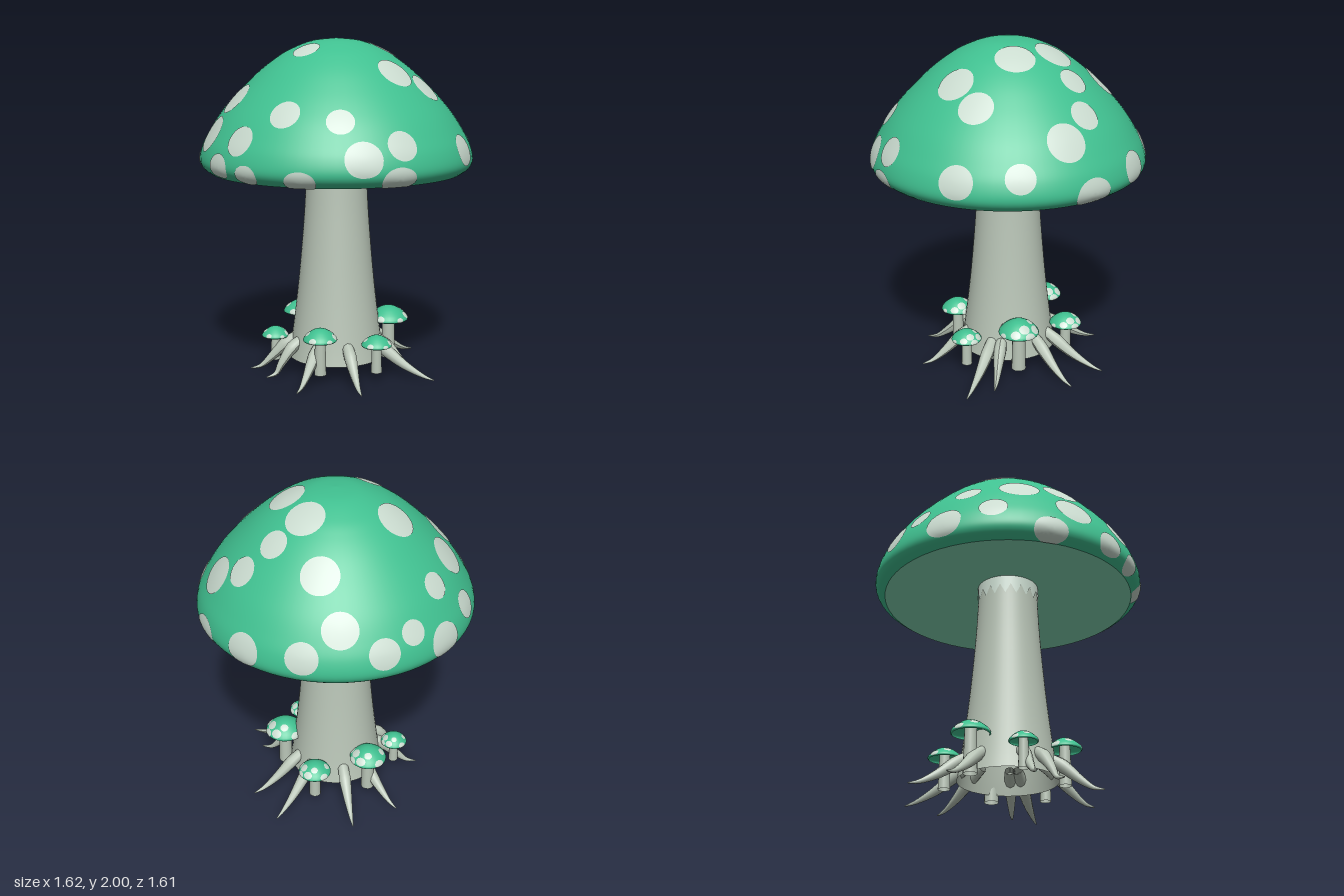
import * as THREE from 'three';

const mat = (name, color, side = THREE.FrontSide) => {
  const m = new THREE.MeshStandardMaterial({ color, side });
  m.name = name;
  return m;
};

// Cap outline from crown to rim, with the rim edge at height 0
const RIM = 0.745;
const capLine = new THREE.SplineCurve([
  [0, 0.775], [0.14, 0.76], [0.27, 0.71], [0.36, 0.655], [0.45, 0.585], [0.545, 0.495], [0.62, 0.415],
  [0.685, 0.335], [0.74, 0.25], [0.785, 0.165], [0.805, 0.085], [0.79, 0.035], [RIM, 0],
].map(([r, y]) => new THREE.Vector2(r, y))).getPoints(96);

// Nearest point of the outline, with its outward normal
function nearestOnCap(r, y) {
  const p = new THREE.Vector2(r, y);
  let best = null;
  for (let i = 0; i < capLine.length - 1; i++) {
    const a = capLine[i], d = capLine[i + 1].clone().sub(a);
    const t = THREE.MathUtils.clamp(p.clone().sub(a).dot(d) / d.lengthSq(), 0, 1);
    const q = a.clone().addScaledVector(d, t);
    const dist = q.distanceTo(p);
    if (!best || dist < best.dist) best = { dist, q, n: new THREE.Vector2(-d.y, d.x).normalize() };
  }
  return best;
}

// Round patch that follows the cap surface; angle is measured from +z towards +x
function spotGeometry(angle, y, radius, lift) {
  const RINGS = 5, SIDES = 28;
  const mid = capLine.reduce((a, b) => (Math.abs(b.y - y) < Math.abs(a.y - y) ? b : a));
  const { n } = nearestOnCap(mid.x, mid.y);
  const s = Math.sin(angle), c = Math.cos(angle);
  const centre = new THREE.Vector3(mid.x * s, mid.y, mid.x * c);
  const normal = new THREE.Vector3(n.x * s, n.y, n.x * c);
  const across = new THREE.Vector3(c, 0, -s);
  const up = normal.clone().cross(across);
  const pos = [], index = [];
  const add = (u, v) => {
    const p = centre.clone().addScaledVector(across, u).addScaledVector(up, v);
    const near = nearestOnCap(Math.hypot(p.x, p.z), p.y);
    const a = Math.atan2(p.x, p.z), r = near.q.x + near.n.x * lift;
    pos.push(r * Math.sin(a), near.q.y + near.n.y * lift, r * Math.cos(a));
  };
  add(0, 0);
  for (let k = 1; k <= RINGS; k++) {
    for (let i = 0; i < SIDES; i++) {
      const a = (i / SIDES) * Math.PI * 2, w = (radius * k) / RINGS;
      add(w * Math.cos(a), w * Math.sin(a));
      const j = (i + 1) % SIDES, o = 1 + (k - 1) * SIDES, b = o - SIDES;
      if (k === 1) index.push(0, o + i, o + j);
      else index.push(b + i, o + i, o + j, b + i, o + j, b + j);
    }
  }
  const g = new THREE.BufferGeometry();
  g.setAttribute('position', new THREE.Float32BufferAttribute(pos, 3));
  g.setIndex(index);
  g.computeVertexNormals();
  return g;
}

// Spots of the big cap: x and z give the direction, then height and radius
const BIG_SPOTS = [
  [-0.207, -0.3, 1.878, 0.115], [-0.26, 0.075, 1.936, 0.08], [-0.487, -0.4, 1.63, 0.118],
  [-0.27, -0.59, 1.605, 0.077], [-0.48, -0.6, 1.425, 0.082], [-0.25, -0.76, 1.35, 0.108],
  [-0.04, -0.745, 1.465, 0.07], [0.147, -0.775, 1.405, 0.088], [0.336, -0.632, 1.525, 0.1],
  [0.33, -0.41, 1.745, 0.107], [0.55, -0.59, 1.395, 0.092], [0.75, -0.3, 1.345, 0.102],
  [0.26, -0.12, 1.928, 0.114], [0.45, -0.104, 1.805, 0.084], [0.61, -0.04, 1.655, 0.088],
  [0.668, 0.15, 1.56, 0.112], [0.233, 0.14, 1.936, 0.114], [0.09, 0.44, 1.81, 0.109],
  [0.293, 0.459, 1.725, 0.099], [0.65, 0.446, 1.41, 0.083], [0.4, 0.68, 1.383, 0.097],
  [-0.1, 0.75, 1.445, 0.087], [-0.32, 0.706, 1.38, 0.105], [-0.37, 0.567, 1.575, 0.077],
  [-0.565, 0.33, 1.605, 0.087], [-0.75, 0.15, 1.455, 0.09], [-0.586, -0.16, 1.66, 0.106],
  [-0.72, -0.2, 1.468, 0.114], [-0.8, 0.01, 1.295, 0.09], [-0.706, -0.375, 1.275, 0.1],
  [-0.137, 0.785, 1.26, 0.102], [-0.6, 0.52, 1.255, 0.088], [0.8, 0.06, 1.285, 0.114],
  [-0.765, 0.24, 1.27, 0.075],
].map(([x, z, y, r]) => [Math.atan2(x, z), y - 1.225, r]);

// Spots of the small caps, crowded towards +x: angle, height, radius
const SMALL_SPOTS = [
  [0.7, 0.3, 0.2], [1.3, 0.5, 0.22], [1.5, 0.15, 0.22], [2.1, 0.35, 0.22], [2.6, 0.6, 0.17],
  [3.3, 0.2, 0.22], [4.2, 0.45, 0.18], [5.2, 0.2, 0.18], [0, 0.13, 0.15],
];

// x, z, rim height, cap height, cap radius
const SMALL = [
  [0.285, 0.15, 0.29, 0.088, 0.12], [0.04, 0.355, 0.215, 0.066, 0.09], [-0.255, 0.2, 0.26, 0.075, 0.1],
  [0.28, -0.23, 0.23, 0.07, 0.098], [-0.04, -0.33, 0.28, 0.08, 0.112], [-0.315, -0.2, 0.2, 0.062, 0.082],
];

// Ground positions of the root tips
const ROOT_TIPS = [
  [-0.47, 0.28], [-0.19, 0.52], [0.31, 0.56], [0.34, 0.38], [0.59, 0],
  [0.57, -0.27], [0.2, -0.56], [-0.11, -0.56], [-0.46, -0.25], [-0.47, -0.05],
];

export function createModel() {
  const green = mat('cap green', 0x40c090, THREE.DoubleSide);
  const pale = mat('spot pale grey', 0xcbdcd0);
  const stemGrey = mat('stem grey green', 0xb9c5b7, THREE.DoubleSide);
  const under = mat('underside green', 0x84d8b4);

  const model = new THREE.Group();
  model.name = 'mushroom';
  const mesh = (parent, name, geometry, material) => {
    const m = new THREE.Mesh(geometry, material);
    m.name = name;
    parent.add(m);
    return m;
  };

  // Domed cap with its spots
  function makeCap(name, spots, lift, segments) {
    const cap = new THREE.Group();
    cap.name = name;
    mesh(cap, 'capDome', new THREE.LatheGeometry([...capLine].reverse(), segments), green);
    for (const [a, y, r] of spots) mesh(cap, 'capSpot', spotGeometry(a, y, r, lift), pale);
    return cap;
  }

  // Big cap with a shallow hollow underside
  const bigCap = makeCap('bigCap', BIG_SPOTS, 0.004, 72);
  const hollow = [new THREE.Vector2(0.14, 0.09), new THREE.Vector2(RIM, 0)];
  mesh(bigCap, 'capUnderside', new THREE.LatheGeometry(hollow, 72), under);
  bigCap.position.y = 1.225;
  model.add(bigCap);

  // Flared stem, open at the foot
  const stemLine = new THREE.SplineCurve([
    [0.29, 0.09], [0.272, 0.2], [0.246, 0.4], [0.224, 0.6], [0.206, 0.8], [0.191, 1.0], [0.181, 1.2], [0.178, 1.33],
  ].map(([r, y]) => new THREE.Vector2(r, y))).getPoints(24);
  mesh(model, 'stem', new THREE.LatheGeometry(stemLine, 48), stemGrey);

  // Pale ragged collar where the stem meets the cap
  const collar = new THREE.CylinderGeometry(0.182, 0.186, 0.1, 36, 1, true);
  const cp = collar.attributes.position;
  for (let i = 0; i < cp.count; i++) {
    if (cp.getY(i) < 0) cp.setY(i, i % 2 ? -0.07 : -0.01);
  }
  mesh(model, 'stemCollar', collar, pale).position.y = 1.265;

  // Roots: bent tubes, thickest near the stem and pointed at the tip
  const RINGS = 20, SIDES = 10;
  for (const [x, z] of ROOT_TIPS) {
    const len = Math.hypot(x, z), dx = x / len, dz = z / len;
    const at = (r, y) => new THREE.Vector3(dx * r, y, dz * r);
    const path = new THREE.CatmullRomCurve3([
      at(0.21, 0.22), at(0.3, 0.17), at(0.3 + (len - 0.3) * 0.45, 0.075), at(len - 0.06, 0.022), at(len, 0.008),
    ]);
    const root = new THREE.TubeGeometry(path, RINGS, 0.038, SIDES);
    const p = root.attributes.position, v = new THREE.Vector3();
    for (let i = 0; i < p.count; i++) {
      const t = Math.floor(i / (SIDES + 1)) / RINGS;
      const c = path.getPointAt(t);
      const k = t < 0.3 ? 0.8 + 0.67 * t : 1 - Math.pow((t - 0.3) / 0.7, 1.2) * 0.9;
      v.fromBufferAttribute(p, i).sub(c).multiplyScalar(k).add(c);
      p.setXYZ(i, v.x, v.y, v.z);
    }
    root.computeVertexNormals();
    mesh(model, 'root', root, stemGrey);
  }

  // Small mushrooms around the foot, with open shell caps
  for (const [x, z, y, h, r] of SMALL) {
    const small = new THREE.Group();
    small.name = 'smallMushroom';
    small.position.set(x, 0, z);
    const cap = makeCap('smallCap', SMALL_SPOTS, 0.016, 32);
    cap.scale.set(r / 0.805, h / 0.775, r / 0.805);
    cap.position.y = y;
    small.add(cap);
    const foot = 0.055, height = y + h * 0.85 - foot;
    const stalk = new THREE.CylinderGeometry(r * 0.3, r * 0.36, height, 16, 1, true);
    mesh(small, 'smallStem', stalk, stemGrey).position.y = foot + height / 2;
    model.add(small);
  }

  return model;
}
